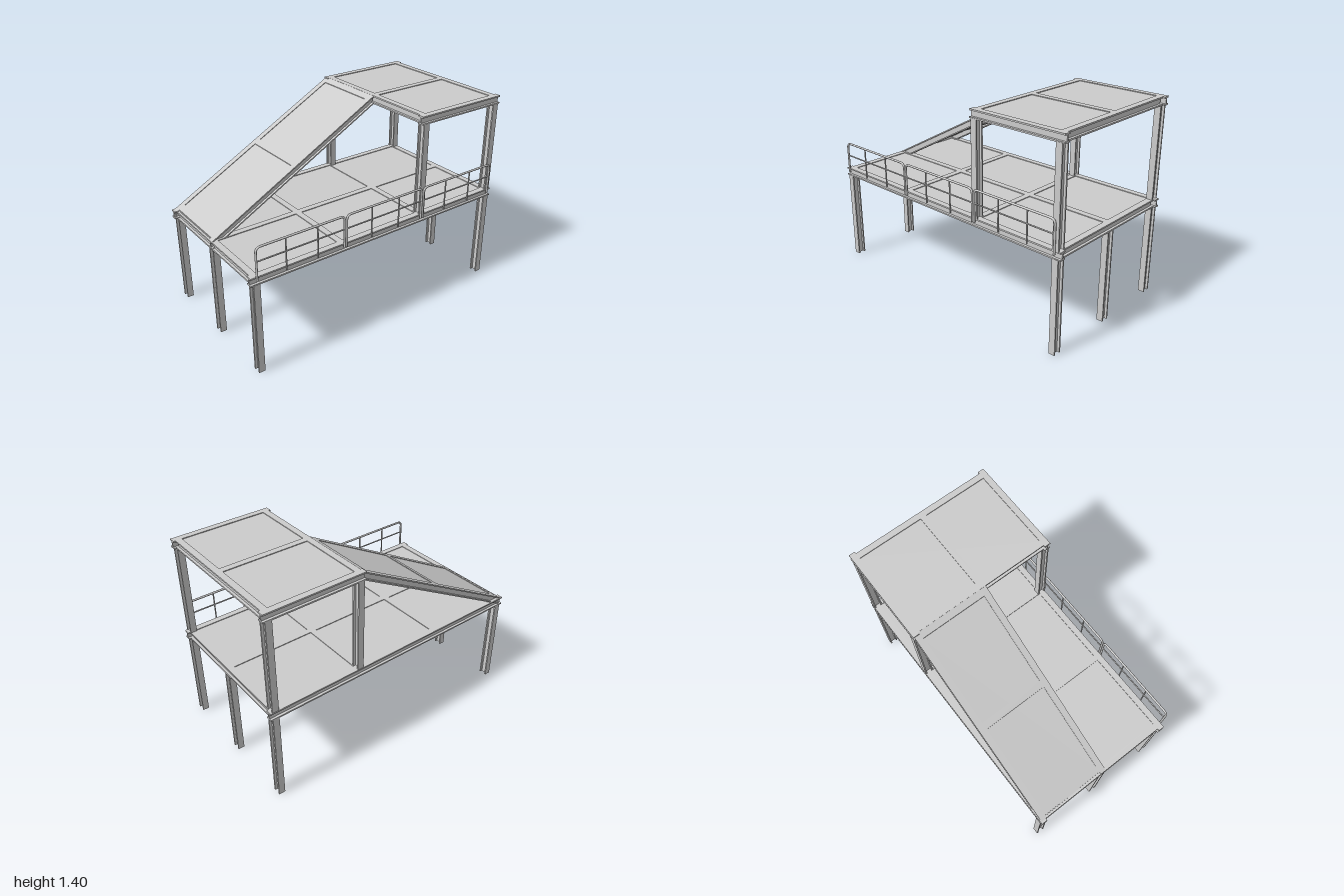
import * as THREE from 'three';

const mat = new THREE.MeshStandardMaterial({ color: 0xcccccc, flatShading: true });
const smooth = new THREE.MeshStandardMaterial({ color: 0xcccccc });

// I-shaped section (flanges at top and bottom) extruded along z, centred
function iBeam(length, w = 0.044, h = 0.058, t = 0.01) {
  const a = w / 2, b = h / 2, s = t / 2;
  const pts = [[-a, -b], [a, -b], [a, t - b], [s, t - b], [s, b - t], [a, b - t],
    [a, b], [-a, b], [-a, b - t], [-s, b - t], [-s, t - b], [-a, t - b]];
  const shape = new THREE.Shape(pts.map(p => new THREE.Vector2(...p)));
  return new THREE.ExtrudeGeometry(shape, { depth: length, bevelEnabled: false })
    .translate(0, 0, -length / 2);
}

function add(group, name, geo, x = 0, y = 0, z = 0, material = mat) {
  const mesh = new THREE.Mesh(geo, material);
  mesh.name = name;
  mesh.position.set(x, y, z);
  group.add(mesh);
  return mesh;
}

const FRONT = 0.505, BACK = -0.512;
const DECK = 0.67, ROOF = 1.37;

const beamX = (g, name, x0, x1, y, z) =>
  add(g, name, iBeam(x1 - x0).rotateY(Math.PI / 2), (x0 + x1) / 2, y, z);
const beamZ = (g, name, z0, z1, x, y) =>
  add(g, name, iBeam(z1 - z0), x, y, (z0 + z1) / 2);
const column = (g, name, x, z, y0, y1) =>
  add(g, name, iBeam(y1 - y0, 0.044, 0.058).rotateX(Math.PI / 2), x, (y0 + y1) / 2, z);

// Platform: long beams, cross beams, a middle beam and thin floor panel
function platform(name, x0, x1, y, crossXs) {
  const g = new THREE.Group();
  g.name = name;
  beamX(g, 'frontBeam', x0, x1, y, FRONT);
  beamX(g, 'backBeam', x0, x1, y, BACK);
  for (const x of crossXs) beamZ(g, 'crossBeam', BACK + 0.02, FRONT - 0.02, x, y);
  for (let i = 1; i < crossXs.length; i++)
    beamX(g, 'middleBeam', crossXs[i - 1] + 0.02, crossXs[i] - 0.02, y, 0);
  const a = crossXs[0], b = crossXs[crossXs.length - 1];
  add(g, 'floorPanel', new THREE.BoxGeometry(b - a, 0.008, FRONT - BACK),
    (a + b) / 2, y + 0.02, (FRONT + BACK) / 2);
  return g;
}

// Sloped roof frame: level parts sheared upward along x
function ramp() {
  const g = new THREE.Group();
  g.name = 'ramp';
  const x0 = -0.985, x1 = 0.305, len = x1 - x0, slope = (ROOF - DECK) / len;
  const shear = (geo) => {
    const p = geo.attributes.position;
    for (let i = 0; i < p.count; i++)
      p.setY(i, p.getY(i) + DECK + slope * (p.getX(i) - x0));
    geo.computeVertexNormals();
    return geo;
  };
  for (const z of [0, BACK + 0.007])
    add(g, 'rampSideBeam', shear(iBeam(len).rotateY(Math.PI / 2).translate((x0 + x1) / 2, 0, z)));
  for (const x of [-0.945, -0.33, 0.283])
    add(g, 'rampCrossBeam', shear(iBeam(0.48).translate(x, 0, -0.255)));
  add(g, 'rampPanel', shear(new THREE.BoxGeometry(len - 0.03, 0.009, 0.49)
    .translate((x0 + x1) / 2, 0.02, -0.255)));
  return g;
}

// One guard rail section: bent hoop, middle rail and two inner posts
function railing(x0, x1) {
  const g = new THREE.Group();
  g.name = 'railing';
  const z = 0.534, y0 = 0.675, y1 = 0.898, r = 0.035, R = 0.0075;
  const v = (x, y) => new THREE.Vector3(x, y, z);
  const hoop = new THREE.CurvePath();
  hoop.add(new THREE.LineCurve3(v(x0, y0), v(x0, y1 - r)));
  hoop.add(new THREE.QuadraticBezierCurve3(v(x0, y1 - r), v(x0, y1), v(x0 + r, y1)));
  hoop.add(new THREE.LineCurve3(v(x0 + r, y1), v(x1 - r, y1)));
  hoop.add(new THREE.QuadraticBezierCurve3(v(x1 - r, y1), v(x1, y1), v(x1, y1 - r)));
  hoop.add(new THREE.LineCurve3(v(x1, y1 - r), v(x1, y0)));
  add(g, 'railHoop', new THREE.TubeGeometry(hoop, 96, R, 8), 0, 0, 0, smooth);
  add(g, 'middleRail', new THREE.CylinderGeometry(0.005, 0.005, x1 - x0, 8).rotateZ(Math.PI / 2),
    (x0 + x1) / 2, 0.805, z, smooth);
  for (const f of [0.32, 0.68])
    add(g, 'railPost', new THREE.CylinderGeometry(0.005, 0.005, y1 - y0, 8),
      x0 + f * (x1 - x0), (y0 + y1) / 2, z, smooth);
  return g;
}

export function createModel() {
  const model = new THREE.Group();
  model.name = 'steelPlatform';

  model.add(platform('mainDeck', -1, 1, DECK, [-0.963, -0.33, 0.325, 0.963]));
  model.add(platform('upperDeck', 0.29, 1, ROOF, [0.325, 0.963]));
  model.add(ramp());

  // Columns under the main deck and under the upper deck
  const columns = new THREE.Group();
  columns.name = 'columns';
  for (const x of [-0.96, 0.963])
    for (const z of [0.5, 0, -0.503]) column(columns, 'lowerColumn', x, z, 0, 0.645);
  for (const x of [0.325, 0.963])
    for (const z of [0.5, -0.503]) column(columns, 'upperColumn', x, z, 0.695, 1.345);
  model.add(columns);

  for (const [a, b] of [[-0.96, -0.328], [-0.312, 0.313], [0.329, 0.96]]) model.add(railing(a, b));
  return model;
}
